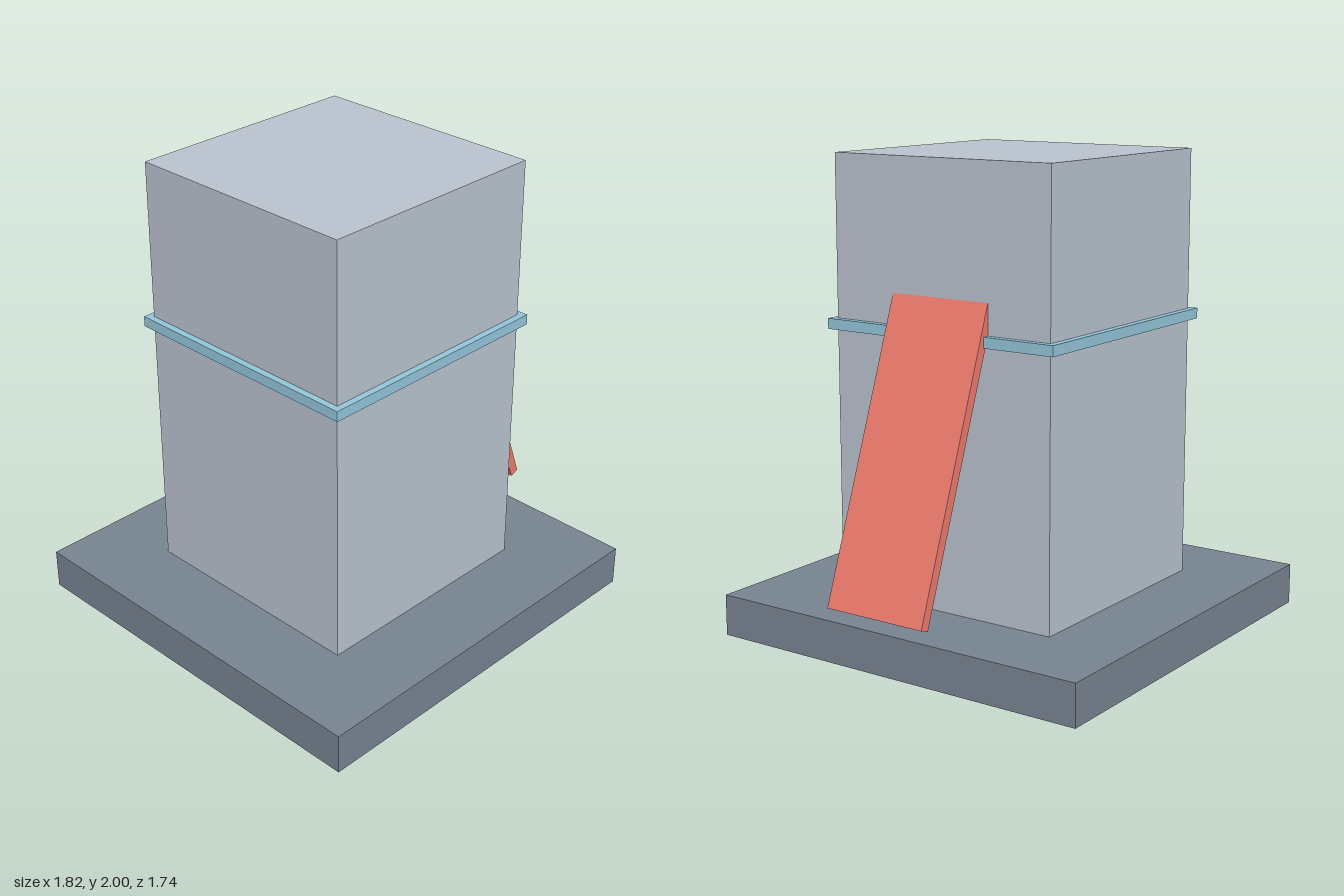
import * as THREE from 'three';

const CENTRE_X = -0.046;

function box(name, color, size, position) {
  const mesh = new THREE.Mesh(
    new THREE.BoxGeometry(...size),
    new THREE.MeshStandardMaterial({ color })
  );
  mesh.name = name;
  mesh.position.set(...position);
  return mesh;
}

export function createModel() {
  const model = new THREE.Group();
  model.name = 'tower';

  // Square plinth and the block standing on it
  model.add(box('base', 0x778391, [1.736, 0.175, 1.736], [CENTRE_X, 0.0875, 0]));
  model.add(box('towerBody', 0xb8c2ce, [1.042, 1.825, 1.042], [CENTRE_X, 1.0875, 0]));

  // Thin band around the block
  model.add(box('band', 0x93c5da, [1.1, 0.044, 1.1], [CENTRE_X, 1.307, 0]));

  // Slanted panel leaning out of the left side, its top sunk into the block
  const panel = box('slantedPanel', 0xec7b6c, [0.043, 1.3, 0.464], [0.666, 0.869, 0]);
  panel.rotation.z = THREE.MathUtils.degToRad(20);
  model.add(panel);

  return model;
}
